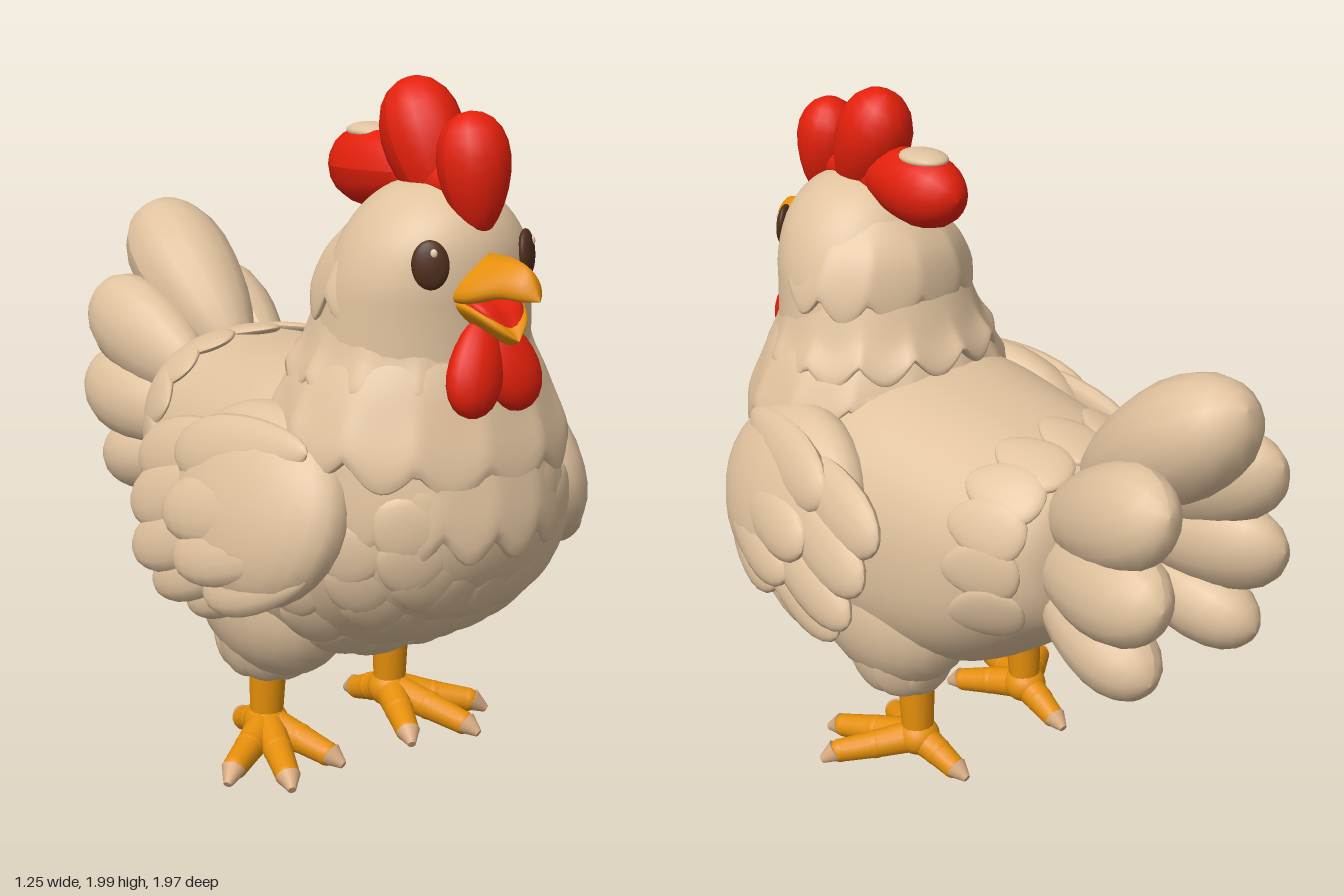
import * as THREE from 'three';

const mat = (name, color) => Object.assign(new THREE.MeshStandardMaterial({ color }), { name });
const PLUMAGE = mat('plumage', 0xe0c29e);
const RED = mat('combRed', 0xe4200b);
const ORANGE = mat('beakOrange', 0xe58f0a);
const BROWN = mat('eyeBrown', 0x4e2d1b);
const CLAW = mat('clawTan', 0xdcae84);
const GLINT = mat('eyeGlint', 0xe6cfb0);
const V = (x, y, z) => new THREE.Vector3(x, y, z);

function add(parent, name, geometry, material) {
  const mesh = new THREE.Mesh(geometry, material);
  mesh.name = name;
  parent.add(mesh);
  return mesh;
}

function group(parent, name) {
  const g = new THREE.Group();
  g.name = name;
  parent.add(g);
  return g;
}

// Smooth surface through oval sections [position, centre, height, width].
// Runs along z (back to front), or along y (top to bottom) when upright.
function section(rows, upright, power = 1) {
  const a = new THREE.CatmullRomCurve3(rows.map(r => V(r[0], r[1], 0)), false, 'catmullrom');
  const b = new THREE.CatmullRomCurve3(rows.map(r => V(r[2], r[3], 0)), false, 'catmullrom');
  const bulge = v => Math.sign(v) * Math.abs(v) ** power;
  return (t, ang) => {
    const p = a.getPoint(t), q = b.getPoint(t);
    const x = Math.max(q.y, 0.0005) * bulge(Math.cos(ang));
    const h = p.y + Math.max(q.x, 0.0005) * bulge(Math.sin(ang));
    return upright ? V(x, p.x, h) : V(x, h, p.x);
  };
}

function loft(surface, rings, sides, tweak) {
  const pos = [], idx = [];
  for (let i = 0; i <= rings; i++) {
    for (let j = 0; j < sides; j++) {
      const ang = j / sides * Math.PI * 2;
      const p = surface(i / rings, ang);
      if (tweak) tweak(p, ang, i / rings);
      pos.push(p.x, p.y, p.z);
      if (i === rings) continue;
      const k = i * sides + j, l = i * sides + (j + 1) % sides;
      idx.push(k, l, l + sides, k, l + sides, k + sides);
    }
  }
  const g = new THREE.BufferGeometry();
  g.setAttribute('position', new THREE.Float32BufferAttribute(pos, 3));
  g.setIndex(idx);
  g.computeVertexNormals();
  return g;
}

// Plump teardrop, fuller toward its tip
const featherShape = new THREE.SphereGeometry(1, 16, 12);
{
  const p = featherShape.attributes.position;
  for (let i = 0; i < p.count; i++) {
    const k = 1 + 0.25 * p.getY(i);
    p.setX(i, p.getX(i) * k);
    p.setZ(i, p.getZ(i) * k);
  }
  featherShape.computeVertexNormals();
}

// Feather from a to b, facing n, with half width w and half thickness t
function feather(parent, name, a, b, n, w, t, material = PLUMAGE) {
  const y = b.clone().sub(a), half = y.length() / 2;
  y.normalize();
  const x = y.clone().cross(n).normalize(), z = x.clone().cross(y);
  const m = new THREE.Matrix4().makeBasis(x, y, z).scale(V(w, half, t));
  m.setPosition(a.clone().add(b).multiplyScalar(0.5));
  return add(parent, name, featherShape.clone().applyMatrix4(m), material);
}

function ball(parent, name, c, r, material) {
  const mesh = add(parent, name, new THREE.SphereGeometry(1, 24, 16), material);
  mesh.position.set(...c);
  mesh.scale.set(...r);
  return mesh;
}

function limb(parent, name, a, b, ra, rb, material) {
  const d = b.clone().sub(a);
  const mesh = add(parent, name, new THREE.CylinderGeometry(rb, ra, d.length(), 14), material);
  mesh.position.copy(a).add(b).multiplyScalar(0.5);
  mesh.quaternion.setFromUnitVectors(V(0, 1, 0), d.normalize());
}

export function createModel() {
  const model = new THREE.Group();
  model.name = 'hen';

  // Body
  const body = section([
    [-0.53, 0.88, 0, 0], [-0.5, 0.88, 0.19, 0.24], [-0.4, 0.87, 0.29, 0.34],
    [-0.2, 0.805, 0.37, 0.405], [0, 0.78, 0.42, 0.44], [0.2, 0.785, 0.435, 0.46],
    [0.4, 0.805, 0.415, 0.44], [0.6, 0.85, 0.35, 0.39], [0.7, 0.87, 0.3, 0.34],
    [0.8, 0.89, 0.22, 0.25], [0.855, 0.9, 0.13, 0.15], [0.885, 0.9, 0, 0],
  ], false, 0.86);
  add(model, 'body', loft(body, 44, 48), PLUMAGE);

  // Overlapping feathers on breast, belly and rump: [ring, first angle, last angle, count, length]
  const coat = group(model, 'bodyFeathers');
  for (const [t, from, to, n, len] of [
    [0.81, -180, 0, 9, 0.1], [0.7, -172, -8, 10, 0.1], [0.58, -160, -20, 8, 0.1],
    [0.19, -20, 200, 11, 0.15],
  ]) {
    for (let i = 0; i < n; i++) {
      const ang = (from + (to - from) * i / (n - 1)) * Math.PI / 180;
      const p = body(t, ang);
      const d = body(t - 0.03, ang).sub(p).normalize();
      const side = body(t, ang + 0.02).sub(body(t, ang - 0.02));
      const out = d.clone().cross(side).normalize();
      if (out.dot(V(p.x, p.y - 0.85, 0)) < 0) out.negate();
      const a = p.clone().addScaledVector(d, -len).addScaledVector(out, -0.03);
      const b = p.clone().addScaledVector(d, 0.09);
      feather(coat, 'bodyFeather', a, b, out, 0.09, 0.025);
    }
  }

  // Head
  add(model, 'head', loft(section([
    [1.745, 0.55, 0, 0], [1.73, 0.55, 0.1, 0.095], [1.68, 0.55, 0.18, 0.175],
    [1.6, 0.545, 0.23, 0.24], [1.5, 0.53, 0.255, 0.28], [1.4, 0.51, 0.27, 0.295],
    [1.25, 0.49, 0.29, 0.31], [1.05, 0.49, 0.3, 0.33],
  ], true), 28, 40), PLUMAGE);

  // Scalloped neck and breast collars, turned in at the hem: [sections, scallops, hem tilt]
  for (const [rows, n, tilt] of [
    [[[1.64, 0.5, 0.17, 0.17], [1.55, 0.49, 0.24, 0.255], [1.45, 0.48, 0.25, 0.3], [1.44, 0.48, 0.2, 0.25]], 11, -0.02],
    [[[1.42, 0.49, 0.26, 0.28], [1.32, 0.485, 0.295, 0.315], [1.24, 0.48, 0.335, 0.36], [1.23, 0.48, 0.27, 0.29]], 13, 0.04],
    [[[1.3, 0.49, 0.29, 0.31], [1.2, 0.49, 0.335, 0.375], [1.1, 0.5, 0.37, 0.42], [1.09, 0.5, 0.28, 0.34]], 13, 0.07],
    [[[1.18, 0.47, 0.34, 0.36], [1.05, 0.47, 0.395, 0.4], [0.9, 0.47, 0.42, 0.4], [0.89, 0.47, 0.3, 0.3]], 17, 0.04],
  ]) {
    add(model, 'featherCollar', loft(section(rows, true), 15, 120, (p, ang, t) => {
      p.y -= (0.065 * Math.abs(Math.cos(n * ang / 2)) + tilt * Math.sin(ang)) * Math.min(1, t * 1.5) ** 2;
    }), PLUMAGE);
  }

  // Comb
  const comb = group(model, 'comb');
  ball(comb, 'combBase', [0, 1.735, 0.51], [0.07, 0.065, 0.25], RED);
  feather(comb, 'frontLobe', V(0, 1.61, 0.735), V(0, 1.925, 0.69), V(0, 0, 1), 0.092, 0.095, RED);
  feather(comb, 'middleLobe', V(0, 1.64, 0.6), V(0, 1.985, 0.425), V(0, 0, 1), 0.104, 0.115, RED);
  feather(comb, 'backLobe', V(0, 1.75, 0.54), V(0, 1.735, 0.12), V(0, 1, 0), 0.1, 0.108, RED);
  ball(comb, 'backLobePatch', [0, 1.833, 0.27], [0.062, 0.024, 0.085], PLUMAGE);

  // Beak and mouth
  const beak = group(model, 'beak');
  add(beak, 'upperBeak', loft(section([
    [0.7, 1.525, 0.05, 0.105], [0.8, 1.53, 0.048, 0.1], [0.88, 1.535, 0.042, 0.065],
    [0.94, 1.52, 0.035, 0.038], [0.98, 1.485, 0, 0],
  ], false), 16, 24, p => { p.y -= 0.55 * Math.abs(p.x); }), ORANGE);
  add(beak, 'lowerBeak', loft(section([
    [0.7, 1.39, 0.03, 0.1], [0.8, 1.387, 0.028, 0.092], [0.87, 1.375, 0.02, 0.055], [0.905, 1.37, 0, 0],
  ], false), 12, 24, p => { p.y += 0.65 * Math.abs(p.x); }), ORANGE);
  add(beak, 'mouth', loft(section([
    [0.7, 1.425, 0.035, 0.08], [0.82, 1.42, 0.033, 0.075], [0.872, 1.395, 0.004, 0.035],
  ], false), 10, 20, p => { p.y += 0.35 * Math.abs(p.x); }), RED);

  // Tail centre feather
  const tail = group(model, 'tail');
  feather(tail, 'tailTopFeather', V(0, 1.05, -0.41), V(0, 1.455, -0.965), V(0, 0.8, 0.6), 0.158, 0.16);

  for (const s of [1, -1]) {
    const side = s > 0 ? 'left' : 'right';
    const P = (x, y, z) => V(s * x, y, z);

    // Eye with glint
    const eye = group(model, side + 'Eye');
    eye.position.set(s * 0.156, 1.555, 0.739);
    eye.rotation.set(-0.12, s * 0.62, 0);
    ball(eye, 'iris', [0, 0, 0], [0.048, 0.063, 0.02], BROWN);
    ball(eye, 'glint', [0.01, 0.03, 0.016], [0.009, 0.011, 0.006], GLINT);

    // Wattle
    feather(model, side + 'Wattle', P(0.005, 1.42, 0.775), P(0.095, 1.168, 0.825), V(0, 0, 1), 0.08, 0.058, RED);

    // Wing: shoulder, long feathers, then shorter ones on top [base, tip, half width]
    const wing = group(model, side + 'Wing');
    const shoulder = ball(wing, 'wingShoulder', [s * 0.435, 0.88, 0.36], [0.14, 0.28, 0.33], PLUMAGE);
    shoulder.rotation.set(0, -s * 0.12, s * 0.32);
    for (const [a, b, w] of [
      [[0.46, 1.04, 0.36], [0.52, 0.91, -0.12], 0.1],
      [[0.5, 0.95, 0.38], [0.56, 0.79, -0.1], 0.1],
      [[0.53, 0.85, 0.42], [0.58, 0.67, -0.06], 0.09],
      [[0.52, 0.77, 0.46], [0.56, 0.59, 0.02], 0.08],
      [[0.49, 0.72, 0.52], [0.52, 0.56, 0.14], 0.07],
      [[0.42, 1.07, 0.58], [0.53, 0.98, 0.1], 0.1],
      [[0.48, 0.94, 0.6], [0.59, 0.83, 0.13], 0.1],
      [[0.49, 0.84, 0.62], [0.6, 0.72, 0.2], 0.09],
      [[0.46, 0.76, 0.64], [0.565, 0.64, 0.3], 0.08],
    ]) feather(wing, 'wingFeather', P(...a), P(...b), P(1, 0.3, 0.1), w, 0.045);

    // Tail side feathers
    for (const [a, b, w] of [
      [[0.13, 0.99, -0.4], [0.22, 1.21, -0.92], 0.145],
      [[0.16, 0.87, -0.4], [0.24, 0.95, -0.93], 0.14],
      [[0.15, 0.78, -0.4], [0.21, 0.69, -0.87], 0.115],
    ]) feather(tail, 'tailSideFeather', P(...a), P(...b), P(0.9, 0.3, 0), w, 0.108);

    // Thigh, blending into the belly
    ball(model, side + 'Thigh', [s * 0.245, 0.55, 0.15], [0.195, 0.26, 0.3], PLUMAGE);
    for (let i = 0; i < 8; i++) {
      const c = Math.cos(i * Math.PI / 4), d = Math.sin(i * Math.PI / 4);
      feather(model, side + 'ThighFeather', P(0.245 + 0.15 * c, 0.52, 0.13 + 0.18 * d),
        P(0.24 + 0.09 * c, 0.28, 0.11 + 0.1 * d), P(c, 0, d), 0.085, 0.035);
    }

    // Leg, toes and claws
    const leg = group(model, side + 'Leg');
    const ankle = P(0.225, 0.09, 0.07);
    limb(leg, 'shank', ankle, P(0.22, 0.4, 0.08), 0.048, 0.06, ORANGE);
    ball(leg, 'ankle', ankle.toArray(), [0.066, 0.06, 0.07], ORANGE);
    for (const [x, y, z] of [[0.145, 0.042, 0.27], [0.315, 0.042, 0.32], [0.42, 0.05, 0.21], [0.21, 0.04, -0.075]]) {
      const tip = P(x, y, z), mid = ankle.clone().lerp(tip, 0.55);
      mid.y = 0.065;
      limb(leg, 'toe', ankle, mid, 0.052, 0.043, ORANGE);
      limb(leg, 'toe', mid, tip, 0.043, 0.036, ORANGE);
      ball(leg, 'toeKnuckle', mid.toArray(), [0.044, 0.044, 0.044], ORANGE);
      ball(leg, 'toeEnd', tip.toArray(), [0.036, 0.036, 0.036], ORANGE);
      const out = tip.clone().sub(ankle).setY(0).normalize();
      const root = tip.clone().addScaledVector(out, 0.012), end = tip.clone().addScaledVector(out, 0.058);
      end.y = 0.02;
      limb(leg, 'claw', root, end, 0.036, 0.012, CLAW);
    }
  }
  return model;
}
